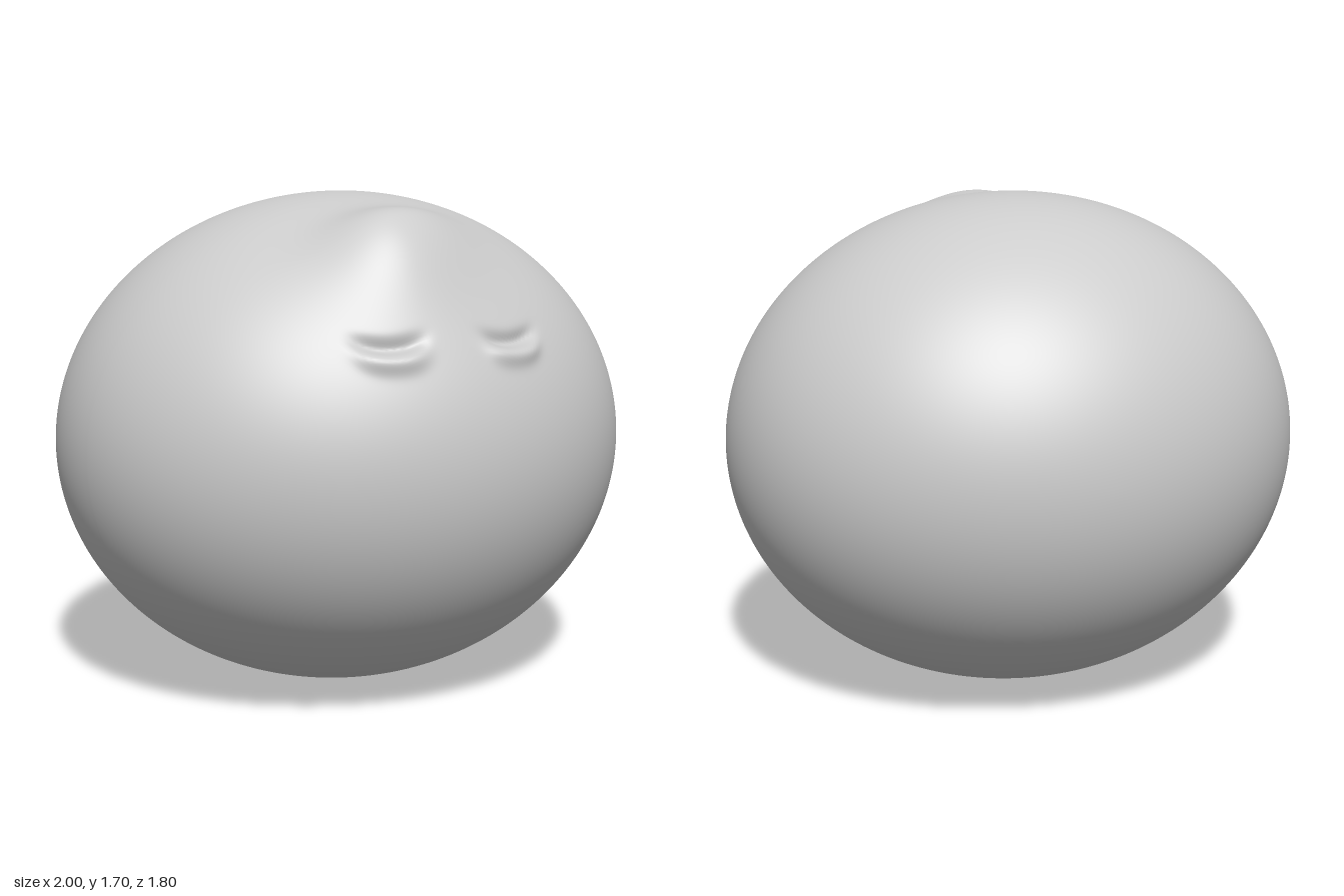
import * as THREE from 'three';
import { mergeVertices } from 'three/addons/utils/BufferGeometryUtils.js';

const RADII = new THREE.Vector3(1, 0.85, 0.9);
const bell = (d, w) => Math.exp(-((d / w) ** 2));

// Soft off-centre crest on the brow: steep behind, long slope toward the eyes
function crest(p) {
  const dx = p.x + 0.08;
  // distance along the surface from the crest, measured down toward the front
  const down = Math.atan2(p.z, p.y - 0.85) - 0.62 + 0.15 * dx;
  const side = bell(dx, dx < 0 ? 0.22 : 0.28);
  return 0.1 * side * bell(down, down < 0 ? 0.18 : 0.29);
}

// Closed eye: a curved crease with a puffy lower lid beneath it
function eye(p) {
  const dx = Math.abs(p.x) - 0.22;
  const curve = 1.238 + 1.6 * dx * dx;
  const width = Math.exp(-((dx / 0.105) ** 4));
  const crease = -0.026 * bell(p.y - curve - 0.012, 0.022);
  const lid = 0.022 * bell(p.y - curve + 0.035, 0.028);
  return width * (crease + lid);
}

function bodyGeometry() {
  // The pole faces forward and the rings are closer together around the face
  const geo = new THREE.SphereGeometry(1, 280, 200);
  geo.deleteAttribute('normal');
  const pos = geo.attributes.position;
  const p = new THREE.Vector3(), n = new THREE.Vector3();
  for (let i = 0; i < pos.count; i++) {
    p.fromBufferAttribute(pos, i);
    const v = Math.acos(THREE.MathUtils.clamp(p.y, -1, 1)) / Math.PI;
    const theta = Math.PI * (v < 0.7 ? v * 0.45 / 0.7 : 0.45 + (v - 0.7) * 0.55 / 0.3);
    const phi = Math.atan2(p.z, p.x);
    p.set(Math.sin(theta) * Math.cos(phi), -Math.sin(theta) * Math.sin(phi), Math.cos(theta));
    n.copy(p).divide(RADII).normalize();
    p.multiply(RADII);
    p.y += 0.85;
    if (p.z > 0) p.addScaledVector(n, crest(p) + eye(p));
    pos.setXYZ(i, p.x, p.y, p.z);
  }
  geo.deleteAttribute('uv');
  const merged = mergeVertices(geo, 1e-5);
  merged.computeVertexNormals();
  return merged;
}

export function createModel() {
  const group = new THREE.Group();
  group.name = 'roundHead';
  const grey = new THREE.MeshStandardMaterial({ color: 0xcccccc });
  grey.name = 'light grey';
  const body = new THREE.Mesh(bodyGeometry(), grey);
  body.name = 'headWithCrestAndEyes';
  group.add(body);
  return group;
}
